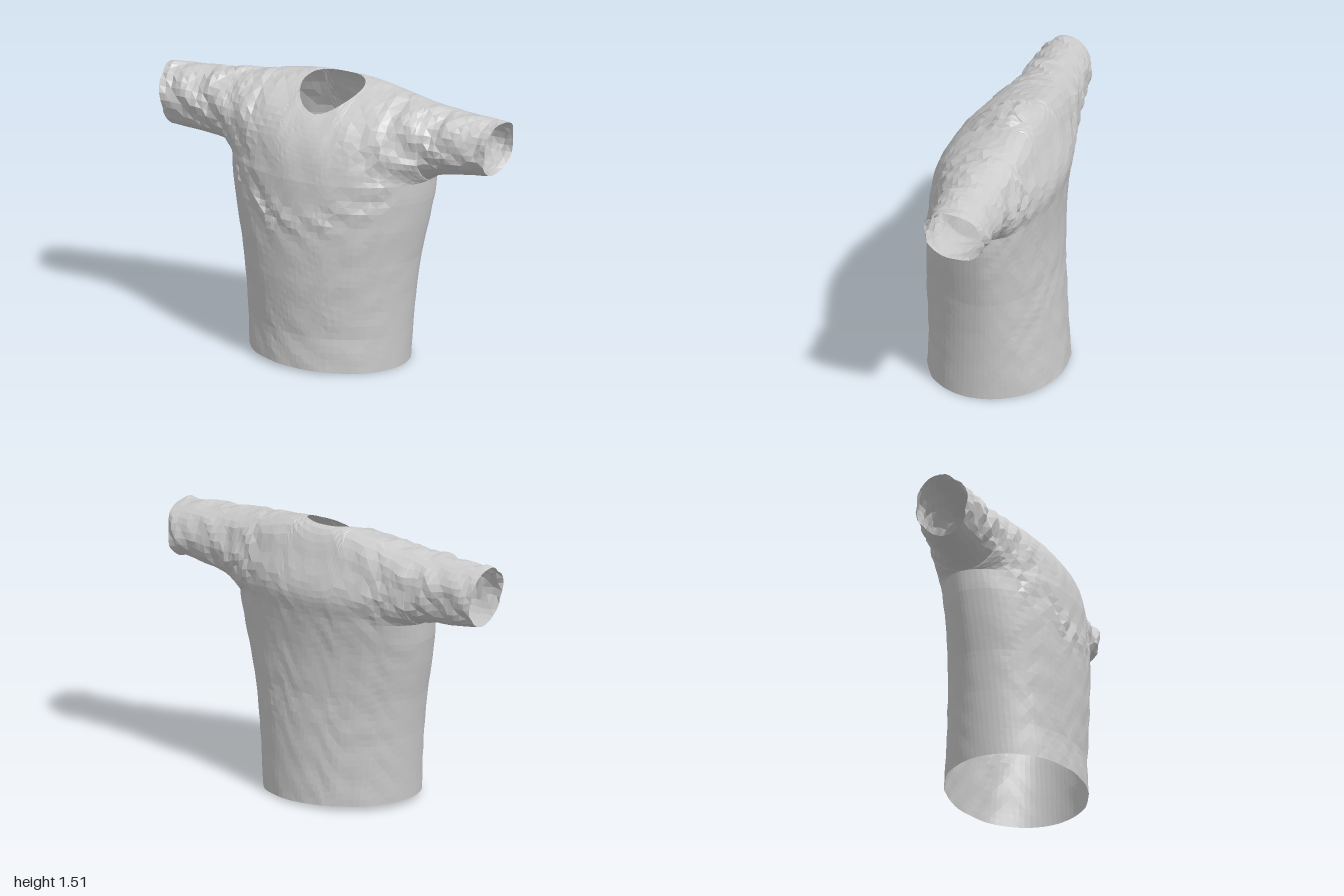
import * as THREE from 'three';
import { mergeGeometries, mergeVertices } from 'three/addons/utils/BufferGeometryUtils.js';

const ARM = 0.59;      // half width of the body at armpit height
const PIT = 1.05;      // armpit height
const NECK = 0.175;    // half width of the neck opening
const CUFF = 1.0;

const { lerp, smoothstep, clamp } = THREE.MathUtils;
const material = new THREE.MeshStandardMaterial({
  color: 0xcccccc, flatShading: true, side: THREE.DoubleSide,
});

// Piecewise linear profile lookup: [[y, value], ...]
function along(table, y) {
  let i = 1;
  while (i < table.length - 1 && y > table[i][0]) i++;
  const [y0, a] = table[i - 1], [y1, b] = table[i];
  return lerp(a, b, clamp((y - y0) / (y1 - y0), 0, 1));
}
const halfWidth = [[0, 0.44], [0.2, 0.455], [0.4, 0.475], [0.6, 0.505], [0.8, 0.55], [0.95, 0.58], [PIT, ARM]];
const frontDepth = [[0, 0.37], [0.2, 0.358], [0.5, 0.368], [0.78, 0.366], [0.92, 0.353], [PIT, 0.34]];
const backDepth = [[0, -0.374], [0.25, -0.352], [0.6, -0.322], [0.85, -0.317], [PIT, -0.335]];

// Section over the shoulders at the middle: front armpit line to back armpit line
const yoke = new THREE.CatmullRomCurve3([
  [0.34, 1.05], [0.312, 1.17], [0.255, 1.285], [0.165, 1.385], [-0.03, 1.487],
  [-0.2, 1.497], [-0.29, 1.34], [-0.35, 1.17], [-0.335, 1.05],
].map(([z, y]) => new THREE.Vector3(0, y, z)));

// Cloth creases, strong on sleeves, shoulders and the chest fold
function crease(p, front) {
  const { x, y, z } = p, ax = Math.abs(x);
  const n = Math.sin(31 * x + 19 * y + 3 * Math.sin(15 * z + 9 * y))
    + Math.sin(-25 * x + 33 * y + 15 * z + 2 * Math.sin(23 * x))
    + 0.5 * Math.sin(57 * x - 43 * y + 49 * z);
  const inner = front ? 1 - smoothstep(ax, 0.4, 0.55) : 0;
  const fold = inner * Math.exp(-(((y - 0.82 - 0.9 * x * x) / 0.07) ** 2));
  const upper = smoothstep(y, 1.0, 1.25) * smoothstep(ax, 0.1, 0.5);
  const amp = 0.0012 + 0.0055 * upper + 0.0045 * fold;
  const drape = 0.004 * Math.sin(26 * ax - 9 * y) * smoothstep(ax, 0.15, 0.3)
    * (1 - smoothstep(ax, 0.32, 0.42)) * smoothstep(0.95 - y, 0, 0.3);
  p.z += n * amp + (front ? drape : -drape);
  p.y += n * amp * 0.6 * smoothstep(y, 0.6, 0.9);
  return p;
}

const roundness = (x) => Math.sqrt(Math.max(0, 1 - (x / ARM) ** 2));

// Torso from hem to armpit line
function torsoPoint(x, t, front) {
  const hem = 0.016 - 0.034 * x * 0.44 / ARM;
  const y = lerp(hem, PIT, t);
  const mid = -0.07 * y / PIT;
  const z = lerp(mid, along(front ? frontDepth : backDepth, y), roundness(x));
  return new THREE.Vector3(x * along(halfWidth, y) / ARM, y, z);
}

// Shoulder section turning into the sleeve loop away from the middle
function shoulderPoint(x, t, front) {
  const ax = Math.abs(x), out = clamp((ax - ARM) / (CUFF - ARM), 0, 1);
  const n = clamp(ax / NECK, 0, 1);
  const edge = front ? 0.5 - 0.138 * (1 - n ** 1.4) ** 0.55 : 0.5 + 0.105 * Math.sqrt(1 - n * n);
  const u = front ? t * edge : 1 - t * (1 - edge);
  const a = u * Math.PI * 2;
  // The right sleeve is a little slimmer front to back, the left one shorter below
  const bottom = PIT + (x > 0 ? 0.08 : 0.04) * Math.sqrt(out);
  const top = lerp(1.45, 1.425, out);
  const r = lerp(0.185, x > 0 ? 0.165 : 0.145, out);
  const mid = lerp(-0.07, x > 0 ? -0.07 : -0.05, out);
  const sleeve = new THREE.Vector3(0,
    lerp(bottom, top, (1 - Math.cos(a)) / 2), mid + r * Math.sin(a));
  // Above the armpit line the body slopes gradually into the sleeve
  const slope = 1 - smoothstep(ax, 0.08, 0.72);
  const bodyShare = lerp(roundness(x), slope, Math.sin(Math.PI * u) ** 0.8);
  const p = yoke.getPoint(u).lerp(sleeve, 1 - bodyShare);
  p.x = x - Math.sign(x) * out * 0.05 * (1.425 - p.y) / 0.32;
  return p;
}

// Sheet spanned by columns xs and rows upward
function sheet(xs, rows, point, front) {
  const pos = [], index = [], w = rows + 1;
  for (const x of xs) {
    for (let j = 0; j <= rows; j++) {
      const p = crease(point(x, j / rows, front), front);
      pos.push(clamp(p.x, -1, 1), Math.max(0, p.y), p.z);
    }
  }
  for (let i = 0; i < xs.length - 1; i++) {
    for (let j = 0; j < rows; j++) {
      const a = i * w + j, b = a + w, c = b + 1, d = a + 1;
      const tris = (i + j) % 2 ? [a, b, c, a, c, d] : [a, b, d, b, c, d];
      index.push(...(front ? tris : tris.reverse()));
    }
  }
  const g = new THREE.BufferGeometry();
  g.setAttribute('position', new THREE.Float32BufferAttribute(pos, 3));
  g.setIndex(index);
  return g;
}

// Sews sheets together along their shared edges
function sew(name, sheets) {
  const g = mergeVertices(mergeGeometries(sheets), 1e-4);
  g.computeVertexNormals();
  const mesh = new THREE.Mesh(g, material);
  mesh.name = name;
  return mesh;
}

// Evenly stepped list from a to b
const steps = (a, b, n) => Array.from({ length: n + 1 }, (_, i) => lerp(a, b, i / n));

export function createModel() {
  const shirt = new THREE.Group();
  shirt.name = 'shirt';

  // Columns closer together at the side seams and at the neck corners
  const neckAngle = Math.asin(NECK / ARM);
  const side = steps(neckAngle, Math.PI / 2, 16).map((a) => ARM * Math.sin(a));
  const body = [
    ...side.map((x) => -x).reverse(),
    ...steps(-Math.PI / 2, Math.PI / 2, 16).slice(1, -1).map((a) => NECK * Math.sin(a)),
    ...side,
  ];
  const leftArm = steps(ARM, CUFF, 12);
  const rightArm = leftArm.map((x) => -x).reverse();
  const faces = [true, false];

  shirt.add(
    sew('body', faces.flatMap((front) => [
      sheet(body, 28, torsoPoint, front),
      sheet(body, 14, shoulderPoint, front),
    ])),
    sew('leftSleeve', faces.map((front) => sheet(leftArm, 14, shoulderPoint, front))),
    sew('rightSleeve', faces.map((front) => sheet(rightArm, 14, shoulderPoint, front))),
  );
  return shirt;
}
